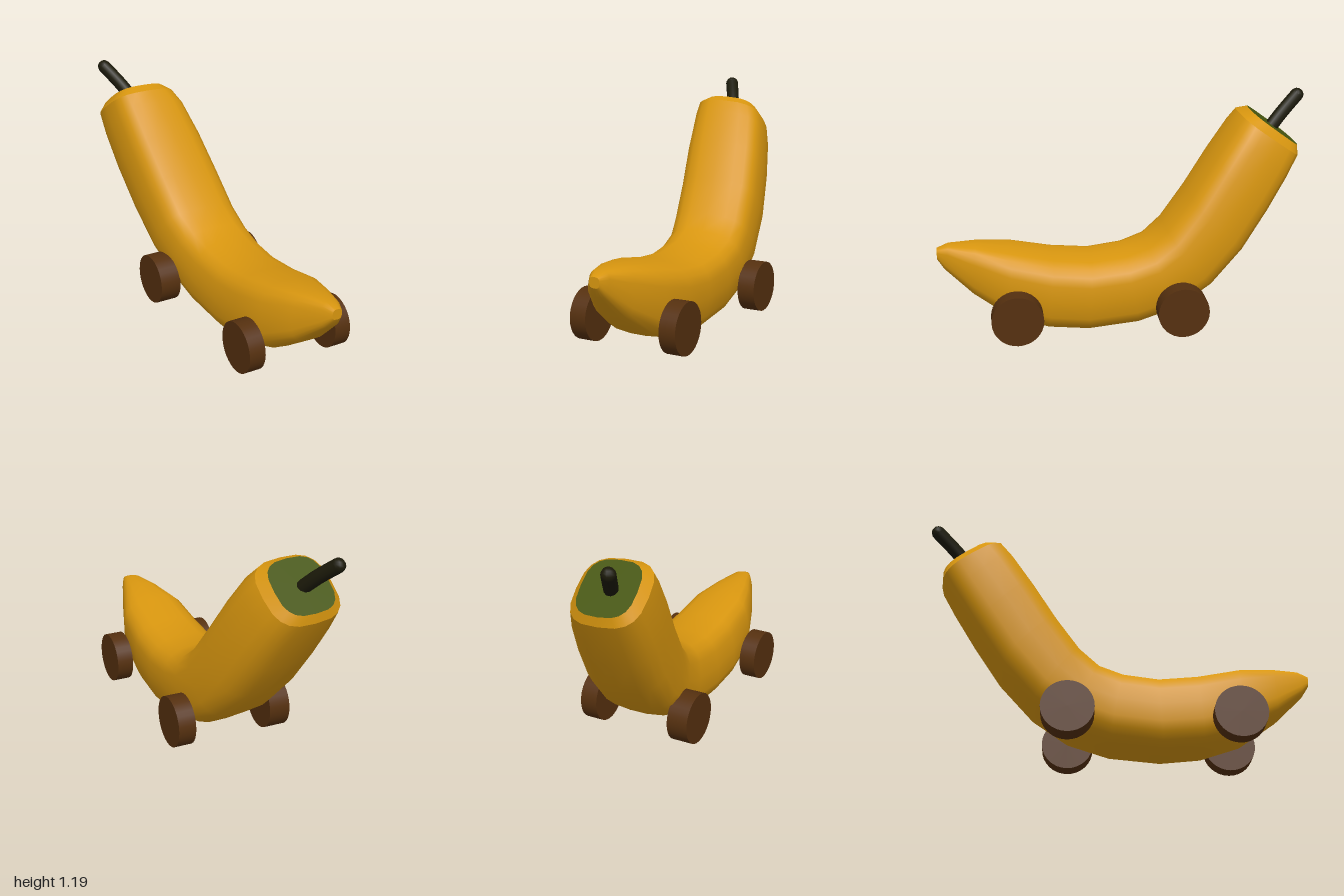
import * as THREE from 'three';

const YELLOW = 0xd8960f, GREEN = 0x46560f, STEM = 0x1c1a0a, BROWN = 0x55300f;
const SIDES = 20;
const ROLL = 0.08;

// Cross-sections from nose to stem end: top z, top y, bottom z, bottom y, min x, max x
const SECTIONS = [
  [1.0, 0.47, 1.0, 0.415, 0.01, 0.065],
  [0.94, 0.49, 0.965, 0.36, -0.025, 0.09],
  [0.8, 0.487, 0.82, 0.22, -0.095, 0.145],
  [0.62, 0.465, 0.63, 0.09, -0.165, 0.21],
  [0.4, 0.42, 0.43, 0.025, -0.18, 0.225],
  [0.2, 0.4, 0.22, 0.005, -0.185, 0.23],
  [0.02, 0.42, -0.05, 0.03, -0.195, 0.23],
  [-0.1, 0.46, -0.27, 0.1, -0.21, 0.228],
  [-0.2, 0.54, -0.45, 0.22, -0.24, 0.215],
  [-0.33, 0.71, -0.62, 0.4, -0.27, 0.19],
  [-0.46, 0.9, -0.76, 0.6, -0.3, 0.15],
  [-0.57, 1.05, -0.87, 0.77, -0.315, 0.105],
  [-0.62, 1.105, -0.935, 0.88, -0.315, 0.065],
  [-0.68, 1.12, -0.935, 0.93, -0.275, 0.02],
];

// One rounded-square ring, slightly rolled about the body's axis
function ring([tz, ty, bz, by, x0, x1]) {
  const centre = new THREE.Vector3((x0 + x1) / 2, (ty + by) / 2, (tz + bz) / 2);
  const up = new THREE.Vector3(0, (ty - by) / 2, (tz - bz) / 2);
  const halfW = (x1 - x0) / 2, halfH = up.length();
  up.normalize();
  const power = (v) => Math.sign(v) * Math.abs(v) ** 0.66;
  const points = [];
  for (let j = 0; j < SIDES; j++) {
    const a = (j / SIDES) * Math.PI * 2;
    const u = halfW * power(Math.cos(a)), v = halfH * power(Math.sin(a));
    const p = centre.clone().addScaledVector(up, v * Math.cos(ROLL) - u * Math.sin(ROLL));
    p.x += u * Math.cos(ROLL) + v * Math.sin(ROLL);
    points.push(p);
  }
  return points;
}

// Skin joining consecutive rings
function loft(rings) {
  const index = [];
  for (let i = 0; i < rings.length - 1; i++) {
    for (let j = 0; j < SIDES; j++) {
      const k = (j + 1) % SIDES;
      const a = i * SIDES + j, b = i * SIDES + k;
      const d = a + SIDES, c = b + SIDES;
      index.push(a, d, b, b, d, c);
    }
  }
  const geometry = new THREE.BufferGeometry().setFromPoints(rings.flat());
  geometry.setIndex(index);
  geometry.computeVertexNormals();
  return geometry;
}

// Flat fan closing one ring
function fan(points, reversed) {
  const centre = new THREE.Vector3();
  points.forEach((p) => centre.addScaledVector(p, 1 / points.length));
  const index = [];
  for (let j = 0; j < SIDES; j++) {
    const k = (j + 1) % SIDES;
    index.push(SIDES, reversed ? k : j, reversed ? j : k);
  }
  const geometry = new THREE.BufferGeometry().setFromPoints([...points, centre]);
  geometry.setIndex(index);
  geometry.computeVertexNormals();
  return geometry;
}

export function createModel() {
  const group = new THREE.Group();
  const add = (name, geometry, color, parent = group) => {
    const mesh = new THREE.Mesh(geometry, new THREE.MeshStandardMaterial({ color }));
    mesh.name = name;
    parent.add(mesh);
    return mesh;
  };

  // Fruit body, nose and green end with a crisp bevel
  const rings = SECTIONS.map(ring);
  const last = rings.length - 1;
  add('body', loft(rings.slice(0, last)), YELLOW);
  add('endBevel', loft(rings.slice(last - 1)), YELLOW);
  add('noseTip', fan(rings[0], false), YELLOW);
  add('endCap', fan(rings[last], true), GREEN);

  // Bent stem with a rounded tip
  const stem = new THREE.Group();
  stem.name = 'stem';
  group.add(stem);
  const tip = new THREE.Vector3(-0.225, 1.163, -0.965);
  const path = new THREE.CatmullRomCurve3([
    new THREE.Vector3(-0.125, 0.99, -0.78),
    new THREE.Vector3(-0.175, 1.085, -0.875),
    tip,
  ]);
  add('stemStalk', new THREE.TubeGeometry(path, 8, 0.036, 10), STEM, stem);
  add('stemTip', new THREE.SphereGeometry(0.036, 10, 8), STEM, stem).position.copy(tip);

  // Wheels: name, inner x, outer x, z
  const wheels = [
    ['frontLeftWheel', 0.225, 0.315, 0.6],
    ['frontRightWheel', -0.19, -0.28, 0.6],
    ['rearLeftWheel', 0.225, 0.32, -0.265],
    ['rearRightWheel', -0.2, -0.315, -0.265],
  ];
  for (const [name, inner, outer, z] of wheels) {
    const geometry = new THREE.CylinderGeometry(0.135, 0.135, Math.abs(outer - inner), 32);
    geometry.rotateZ(Math.PI / 2);
    add(name, geometry, BROWN).position.set((inner + outer) / 2, 0.15, z);
  }
  return group;
}
